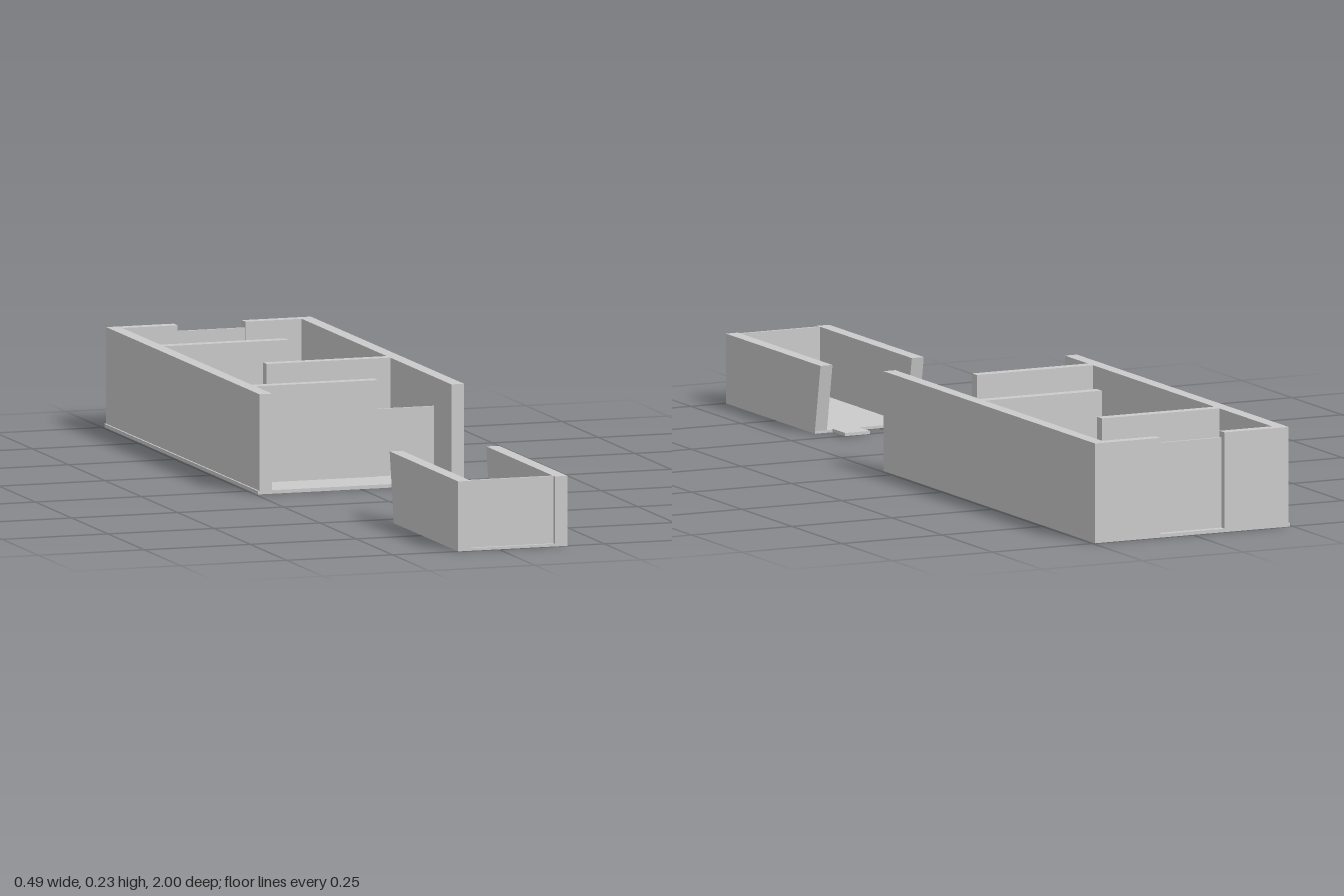
import * as THREE from 'three';

const material = new THREE.MeshStandardMaterial({ color: 0xcccccc, flatShading: true });

export function createModel() {
  const model = new THREE.Group();

  // Box given by its extents on each axis
  function slab(parent, name, [x0, x1], [y0, y1], [z0, z1]) {
    const mesh = new THREE.Mesh(new THREE.BoxGeometry(x1 - x0, y1 - y0, z1 - z0), material);
    mesh.position.set((x0 + x1) / 2, (y0 + y1) / 2, (z0 + z1) / 2);
    mesh.name = name;
    parent.add(mesh);
    return mesh;
  }

  // Large enclosure: floor and two long walls
  const building = new THREE.Group();
  building.name = 'mainBuilding';
  model.add(building);
  const base = 0.008, top = 0.226, doorTop = 0.16;
  slab(building, 'mainFloor', [-0.244, 0.243], [0, base], [-1, 0.055]);
  slab(building, 'rightWall', [-0.24, -0.21], [base, top], [-1, 0.055]);
  slab(building, 'leftWall', [0.213, 0.243], [base, top], [-1, 0.055]);

  // Cross walls, each with a thin low door panel on alternating sides
  const partitions = [
    { z: -0.072, edge: 0.079, side: 1 },
    { z: -0.378, edge: -0.079, side: -1 },
    { z: -0.702, edge: 0.083, side: 1 },
  ];
  for (const { z, edge, side } of partitions) {
    const low = [-0.21, edge], high = [edge, 0.213];
    slab(building, 'partition', side > 0 ? low : high, [base, top], [z - 0.0125, z + 0.0125]);
    slab(building, 'doorPanel', side > 0 ? high : low, [base, doorTop], [z + 0.002, z + 0.008]);
  }

  // Back wall with a recessed central panel
  slab(building, 'backWallRight', [-0.21, -0.08], [base, top], [-1, -0.975]);
  slab(building, 'backWallLeft', [0.08, 0.213], [base, top], [-1, -0.975]);
  slab(building, 'backPanel', [-0.08, 0.08], [base, 0.212], [-0.984, -0.978]);

  // Small tray with slanted side wall ends
  const tray = new THREE.Group();
  tray.name = 'tray';
  model.add(tray);
  const trayTop = 0.158, trayBase = 0.006;
  slab(tray, 'trayFloor', [-0.095, 0.163], [0, trayBase], [0.556, 1]);
  for (const x of [-0.095, 0.133]) {
    const wall = slab(tray, 'traySideWall', [x, x + 0.03], [trayBase, trayTop], [0.556, 1]);
    const p = wall.geometry.attributes.position;
    for (let i = 0; i < p.count; i++) {
      if (p.getZ(i) < 0 && p.getY(i) > 0) p.setZ(i, p.getZ(i) - 0.028);
    }
    wall.geometry.computeVertexNormals();
  }
  slab(tray, 'trayFrontPanel', [-0.065, 0.133], [trayBase, trayTop], [0.985, 0.992]);

  // Loose square plate behind the tray
  slab(model, 'smallPlate', [0.062, 0.124], [0.003, 0.01], [0.483, 0.545]);

  return model;
}
